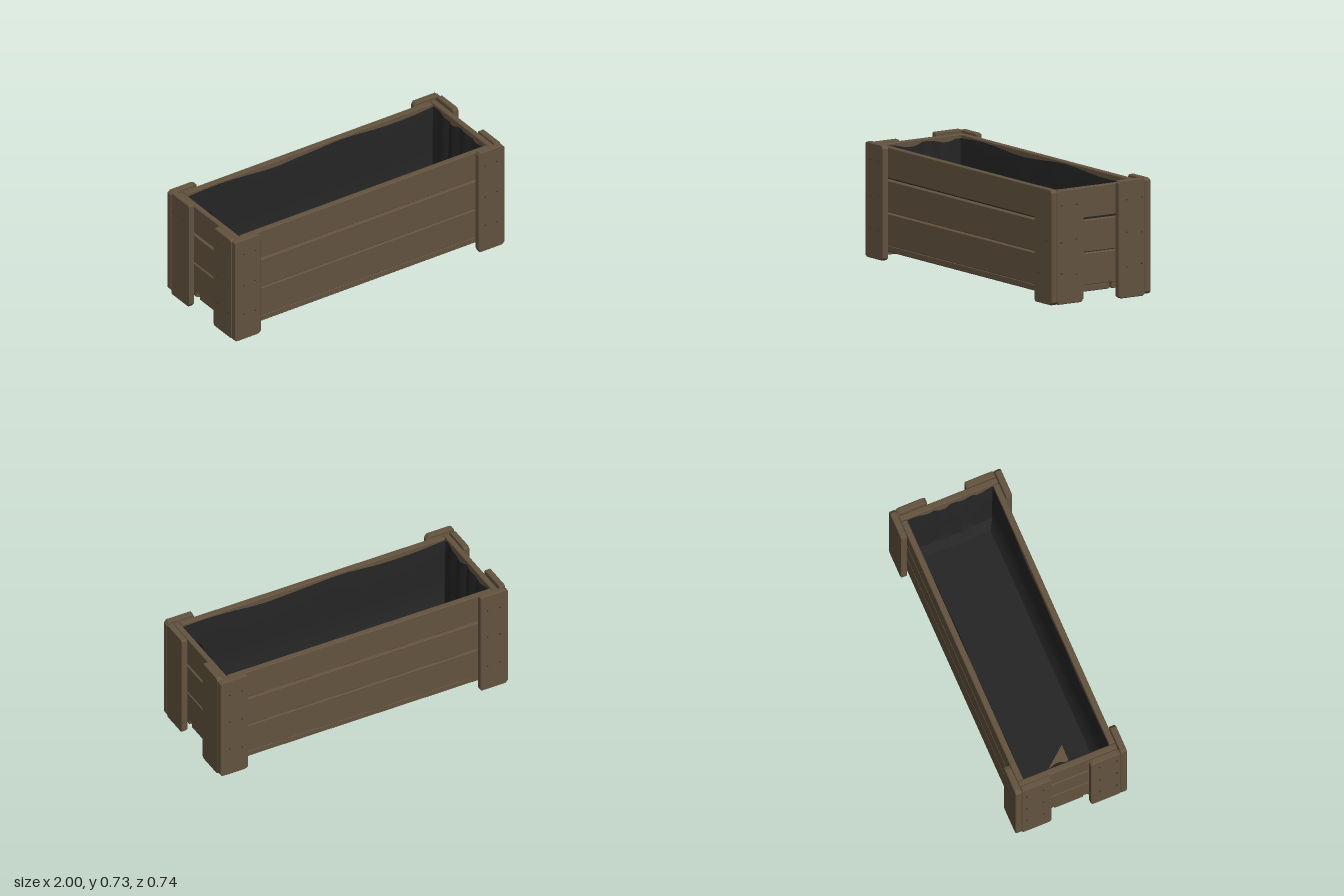
import * as THREE from 'three';
import { toCreasedNormals } from 'three/addons/utils/BufferGeometryUtils.js';

let seed = 7;
function rand(min, max) {
  seed = (seed * 16807) % 2147483647;
  return min + (max - min) * (seed / 2147483647);
}

// Weathered board centred on the origin: width x, height y, thickness z, corners chipped
function plankGeometry(w, h, t, chip) {
  const bevel = 0.004;
  const shape = new THREE.Shape();
  const points = [];
  for (const [sx, sy] of [[1, 1], [-1, 1], [-1, -1], [1, -1]]) {
    const cx = rand(0.3, 1) * chip, cy = rand(0.3, 1) * chip;
    const a = [sx * w / 2, sy * (h / 2 - cy)];
    const b = [sx * (w / 2 - cx), sy * h / 2];
    points.push(...(sx * sy > 0 ? [a, b] : [b, a]));
  }
  shape.setFromPoints(points.map(([x, y]) => new THREE.Vector2(x, y)));
  const geometry = new THREE.ExtrudeGeometry(shape, {
    depth: t - 2 * bevel, bevelEnabled: true, bevelThickness: bevel,
    bevelSize: bevel, bevelOffset: -bevel, bevelSegments: 1,
  });
  return geometry.translate(0, 0, bevel - t / 2);
}

// Open sheet lining, a stack of rectangular rings closing at the floor
function linerGeometry() {
  const rings = [[0.906, 0.281, 0.69], [0.902, 0.277, 0.6], [0.898, 0.275, 0.4],
    [0.895, 0.273, 0.17], [0.84, 0.24, 0.112], [0, 0, 0.106]];
  const n = 16;
  const positions = [], indices = [];
  const corners = [[-1, -1], [1, -1], [1, 1], [-1, 1]];
  rings.forEach(([hx, hz, y], r) => {
    for (let i = 0; i < 4 * n; i++) {
      const a = corners[Math.floor(i / n)], b = corners[(Math.floor(i / n) + 1) % 4];
      const f = (i % n) / n;
      const sag = 1 - (r < 4 ? 0.02 * Math.sin(Math.PI * f) * Math.abs(Math.sin(i * 0.9)) : 0);
      const rise = r === 0 ? 0.012 * Math.sin(i * 0.8) - 0.008 : 0;
      positions.push(hx * sag * (a[0] + (b[0] - a[0]) * f), y + rise,
        hz * sag * (a[1] + (b[1] - a[1]) * f));
    }
  });
  const m = 4 * n;
  for (let r = 0; r < rings.length - 1; r++) {
    for (let i = 0; i < m; i++) {
      const j = (i + 1) % m;
      const p = r * m + i, q = r * m + j;
      indices.push(p, q, p + m, q, q + m, p + m);
    }
  }
  const geometry = new THREE.BufferGeometry();
  geometry.setAttribute('position', new THREE.Float32BufferAttribute(positions, 3));
  geometry.setIndex(indices);
  return toCreasedNormals(geometry, 0.6);
}

export function createModel() {
  seed = 7;
  const model = new THREE.Group();
  model.name = 'planterBox';
  const wood = new THREE.MeshStandardMaterial({ color: 0x63533f });
  wood.name = 'weatheredWood';
  const sheet = new THREE.MeshStandardMaterial({ color: 0x252525, side: THREE.DoubleSide });
  sheet.name = 'darkLining';
  const iron = new THREE.MeshStandardMaterial({ color: 0x42372a });
  iron.name = 'nailBrown';

  function add(name, geometry, material, x, y, z) {
    const mesh = new THREE.Mesh(geometry, material);
    mesh.name = name;
    mesh.position.set(x, y, z);
    model.add(mesh);
    return mesh;
  }

  // Three wall boards on each side and end, with narrow gaps between
  const rows = [[0.1, 0.296], [0.304, 0.5], [0.515, 0.705]];
  for (const [low, high] of rows) {
    const h = high - low, y = (low + high) / 2;
    for (const s of [1, -1]) {
      add('longBoard', plankGeometry(1.815, h, 0.038, 0.007), wood, 0, y, s * 0.302);
      add('endBoard', plankGeometry(0.64, h, 0.036, 0.007).rotateY(Math.PI / 2), wood,
        s * 0.928, y, 0);
    }
  }

  // Floor boards
  for (const [z, w] of [[-0.216, 0.205], [0.005, 0.2], [0.22, 0.2]]) {
    add('floorBoard', plankGeometry(1.88, w, 0.04, 0.016).rotateX(-Math.PI / 2), wood, 0, 0.08, z);
  }

  // Corner posts, each a face plate and a side plate
  const nailGeometry = new THREE.CylinderGeometry(0.004, 0.005, 0.012, 6);
  for (const sx of [1, -1]) {
    for (const sz of [1, -1]) {
      const top = sz > 0 ? 0.712 : 0.725, bottom = sz > 0 ? 0.01 : 0;
      add('cornerFacePlate', plankGeometry(0.19, 0.71, 0.04, 0.022), wood,
        sx * 0.895, 0.365, sz * 0.345);
      add('cornerSidePlate', plankGeometry(0.194, top - bottom, 0.038, 0.022).rotateY(Math.PI / 2),
        wood, sx * 0.971, (top + bottom) / 2, sz * 0.226);
      // Nail heads
      for (const y of [0.195, 0.4, 0.612]) {
        for (const k of [0, 1]) {
          const face = add('nail', nailGeometry, iron,
            sx * (k ? 0.93 : 0.845), y + rand(-0.008, 0.008), sz * 0.365);
          face.rotation.x = sz * Math.PI / 2;
          const side = add('nail', nailGeometry, iron,
            sx * 0.992, y + rand(-0.008, 0.008), sz * (k ? 0.295 : 0.185));
          side.rotation.z = -sx * Math.PI / 2;
        }
      }
    }
    for (const z of [-0.062, 0.066]) {
      add('floorNail', nailGeometry, iron, sx * 0.9, 0.058, z).rotation.x = Math.PI;
    }
  }

  // Lining sheet, with a torn patch baring the floor wood
  add('lining', linerGeometry(), sheet, 0, 0, 0);
  const tear = new THREE.Shape();
  tear.moveTo(-0.757, 0.09);
  tear.lineTo(-0.743, -0.1);
  tear.lineTo(-0.6, -0.1);
  add('tornPatch', new THREE.ShapeGeometry(tear).rotateX(-Math.PI / 2), wood, 0, 0.1145, 0);

  return model;
}
